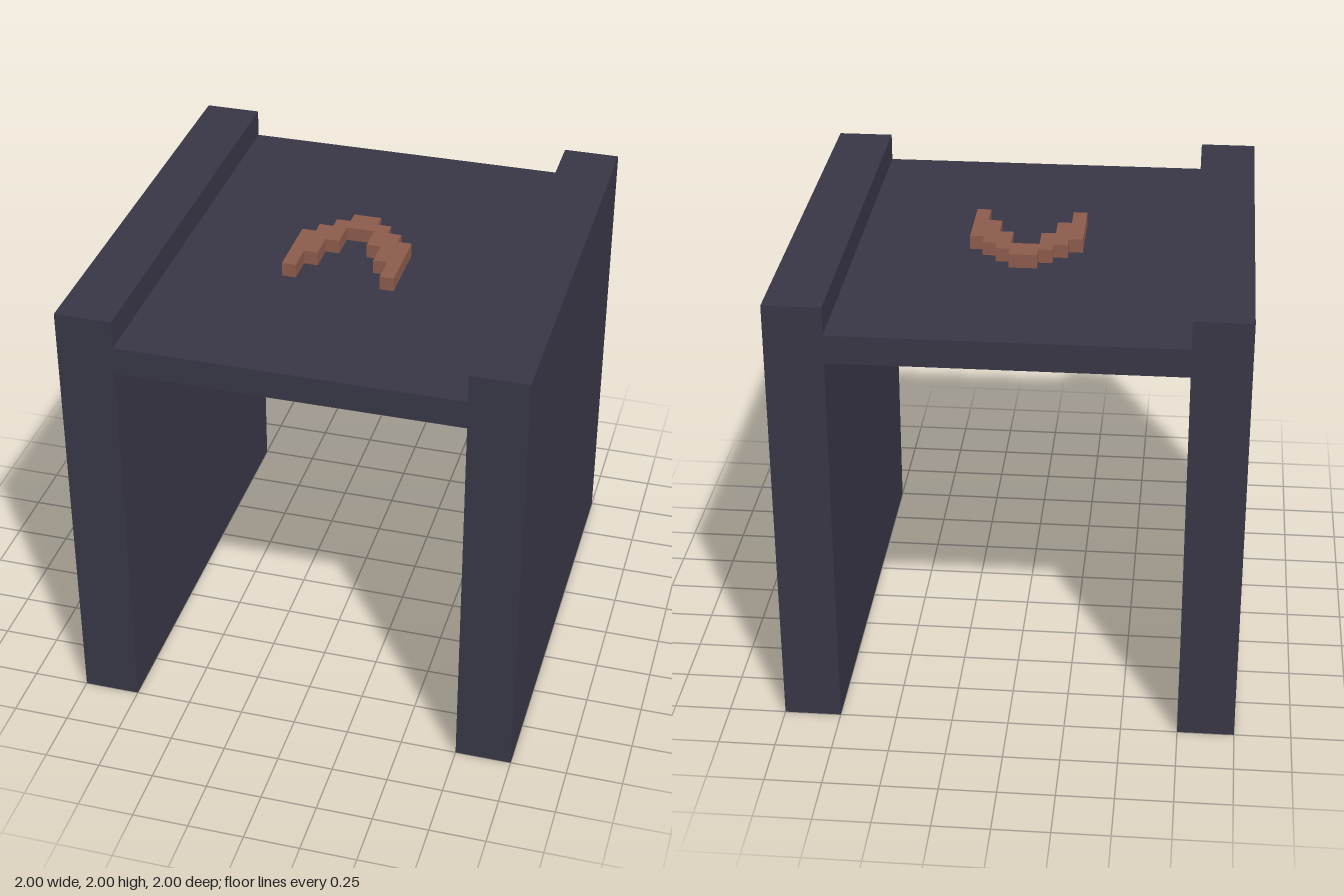
import * as THREE from 'three';

const U = 1 / 16; // modelling grid unit

export function createModel() {
  const dark = new THREE.MeshStandardMaterial({ color: 0x383646 });
  dark.name = 'dark slate';
  const copper = new THREE.MeshStandardMaterial({ color: 0x8c5b4c });
  copper.name = 'copper brown';

  const model = new THREE.Group();
  model.name = 'table';

  const addBox = (name, w, h, d, x, y, z) => {
    const mesh = new THREE.Mesh(new THREE.BoxGeometry(w, h, d), dark);
    mesh.name = name;
    mesh.position.set(x, y, z);
    model.add(mesh);
  };

  // Side walls rise above the slab as raised edges
  addBox('leftWall', 0.25, 2, 2, 0.875, 1, 0);
  addBox('rightWall', 0.25, 2, 2, -0.875, 1, 0);
  addBox('tableTop', 1.5, 0.125, 2, 0, 1.8125, 0);

  // Stepped arch lying on the top: left half outline in grid units, then mirrored
  const half = [
    [1, 4], [1, 3], [2, 3], [2, 2], [3, 2], [3, 1], [4, 1], [4, -4],
    [3, -4], [3, -2], [2, -2], [2, 0], [1, 0], [1, 2],
  ];
  const outline = [...half, ...half.map(([x, y]) => [-x, y]).reverse()];
  const shape = new THREE.Shape(outline.map(([x, y]) => new THREE.Vector2(x * U, y * U)));
  const archGeometry = new THREE.ExtrudeGeometry(shape, { depth: U, bevelEnabled: false });
  archGeometry.rotateX(-Math.PI / 2);
  const arch = new THREE.Mesh(archGeometry, copper);
  arch.name = 'steppedArch';
  arch.position.y = 1.875;
  model.add(arch);

  return model;
}
